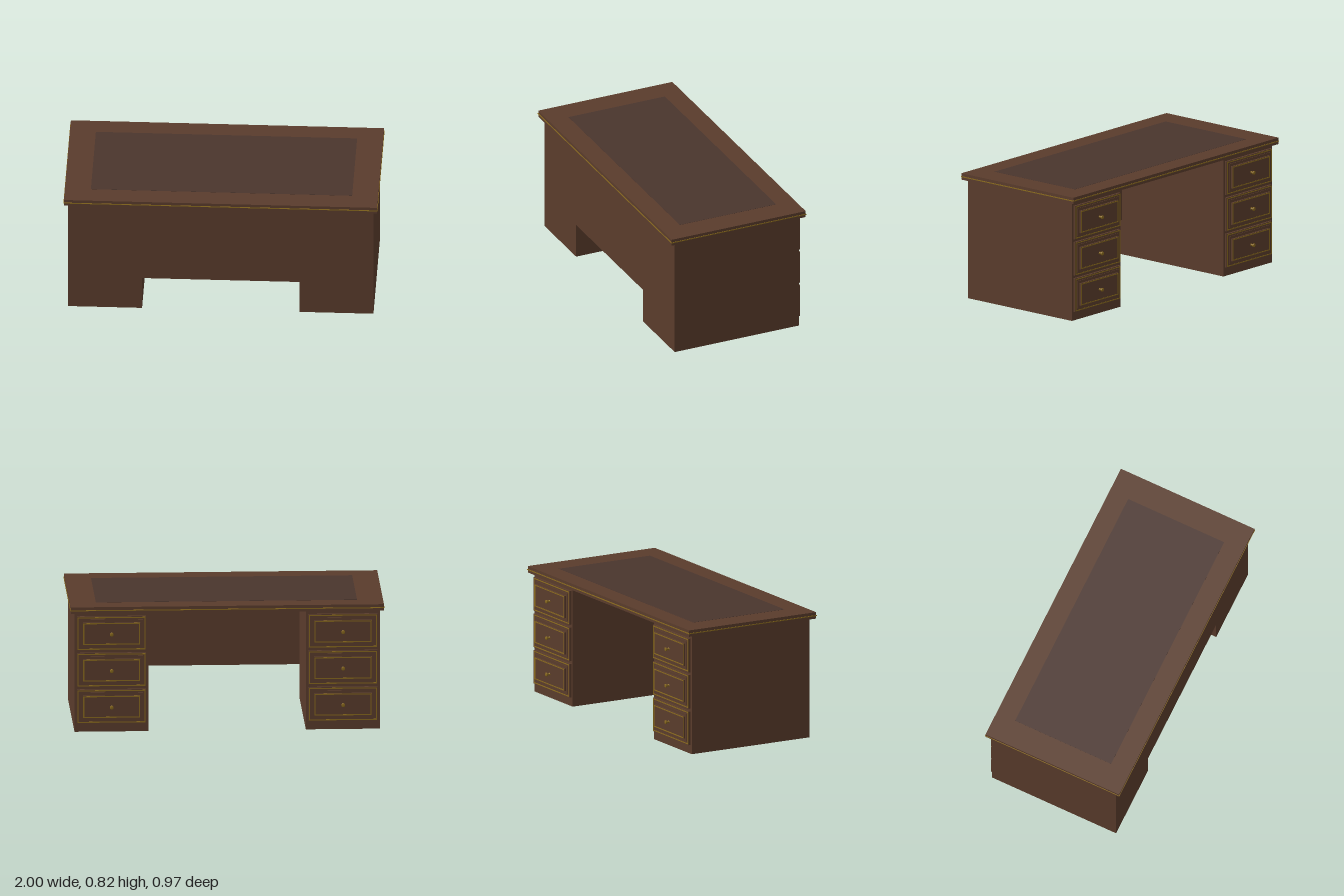
import * as THREE from 'three';

const wood = new THREE.MeshStandardMaterial({ color: 0x5a3c2c });
const leather = new THREE.MeshStandardMaterial({ color: 0x4a352d });
const brass = new THREE.MeshStandardMaterial({ color: 0x8a6a1e });

// Box given by its minimum and maximum corners
function box(name, mat, [x0, y0, z0], [x1, y1, z1]) {
  const mesh = new THREE.Mesh(new THREE.BoxGeometry(x1 - x0, y1 - y0, z1 - z0), mat);
  mesh.position.set((x0 + x1) / 2, (y0 + y1) / 2, (z0 + z1) / 2);
  mesh.name = name;
  return mesh;
}

// Rectangular frame in the XY plane, centred, extruded along +z
function frame(name, mat, w, h, border, depth) {
  const rect = (P, a, b) => new P([
    new THREE.Vector2(-a, -b), new THREE.Vector2(a, -b),
    new THREE.Vector2(a, b), new THREE.Vector2(-a, b)]);
  const shape = rect(THREE.Shape, w / 2, h / 2);
  shape.holes.push(rect(THREE.Path, w / 2 - border, h / 2 - border));
  const mesh = new THREE.Mesh(
    new THREE.ExtrudeGeometry(shape, { depth, bevelEnabled: false }), mat);
  mesh.name = name;
  return mesh;
}

// Drawer front facing +z, with its back on z = 0
function createDrawer() {
  const drawer = new THREE.Group();
  drawer.name = 'drawer';
  drawer.add(box('drawerFront', wood, [-0.22, -0.11, 0], [0.22, 0.11, 0.015]));
  drawer.add(box('panelStep', wood, [-0.2, -0.09, 0.015], [0.2, 0.09, 0.019]));
  drawer.add(box('raisedPanel', wood, [-0.183, -0.073, 0.019], [0.183, 0.073, 0.03]));

  // Brass inlay lines
  const outer = frame('outerInlay', brass, 0.432, 0.212, 0.007, 0.002);
  outer.position.z = 0.014;
  const inner = frame('innerInlay', brass, 0.362, 0.142, 0.007, 0.002);
  inner.position.z = 0.029;
  drawer.add(outer, inner);

  // Turned knob
  const profile = [[0, 0.029], [0.009, 0.029], [0.009, 0.032], [0.005, 0.033],
    [0.005, 0.048], [0.012, 0.049], [0.012, 0.056], [0.009, 0.058], [0, 0.058]]
    .map(([r, y]) => new THREE.Vector2(r, y));
  const knob = new THREE.Mesh(new THREE.LatheGeometry(profile, 20), brass);
  knob.rotation.x = Math.PI / 2;
  knob.name = 'knob';
  drawer.add(knob);
  return drawer;
}

export function createModel() {
  const desk = new THREE.Group();
  desk.name = 'desk';

  // Pedestals with three drawers each, opening to the back
  for (const side of [-1, 1]) {
    const pedestal = new THREE.Group();
    pedestal.name = side > 0 ? 'leftPedestal' : 'rightPedestal';
    const body = box('pedestalBody', wood, [-0.235, 0, -0.425], [0.235, 0.777, 0.447]);
    pedestal.add(body);
    for (const y of [0.167, 0.405, 0.643]) {
      const drawer = createDrawer();
      drawer.position.set(0, y, -0.425);
      drawer.rotation.y = Math.PI;
      pedestal.add(drawer);
    }
    pedestal.position.x = side * 0.735;
    desk.add(pedestal);
  }

  // Panel closing the front of the kneehole
  desk.add(box('modestyPanel', wood, [-0.5, 0.225, 0.425], [0.5, 0.777, 0.447]));

  // Desktop with brass edge band and leather writing surface
  desk.add(box('desktop', wood, [-0.995, 0.777, -0.46], [0.995, 0.819, 0.48]));
  desk.add(box('edgeBand', brass, [-0.998, 0.794, -0.463], [0.998, 0.8, 0.483]));
  desk.add(box('writingSurface', leather, [-0.83, 0.81, -0.33], [0.83, 0.82, 0.345]));

  return desk;
}
